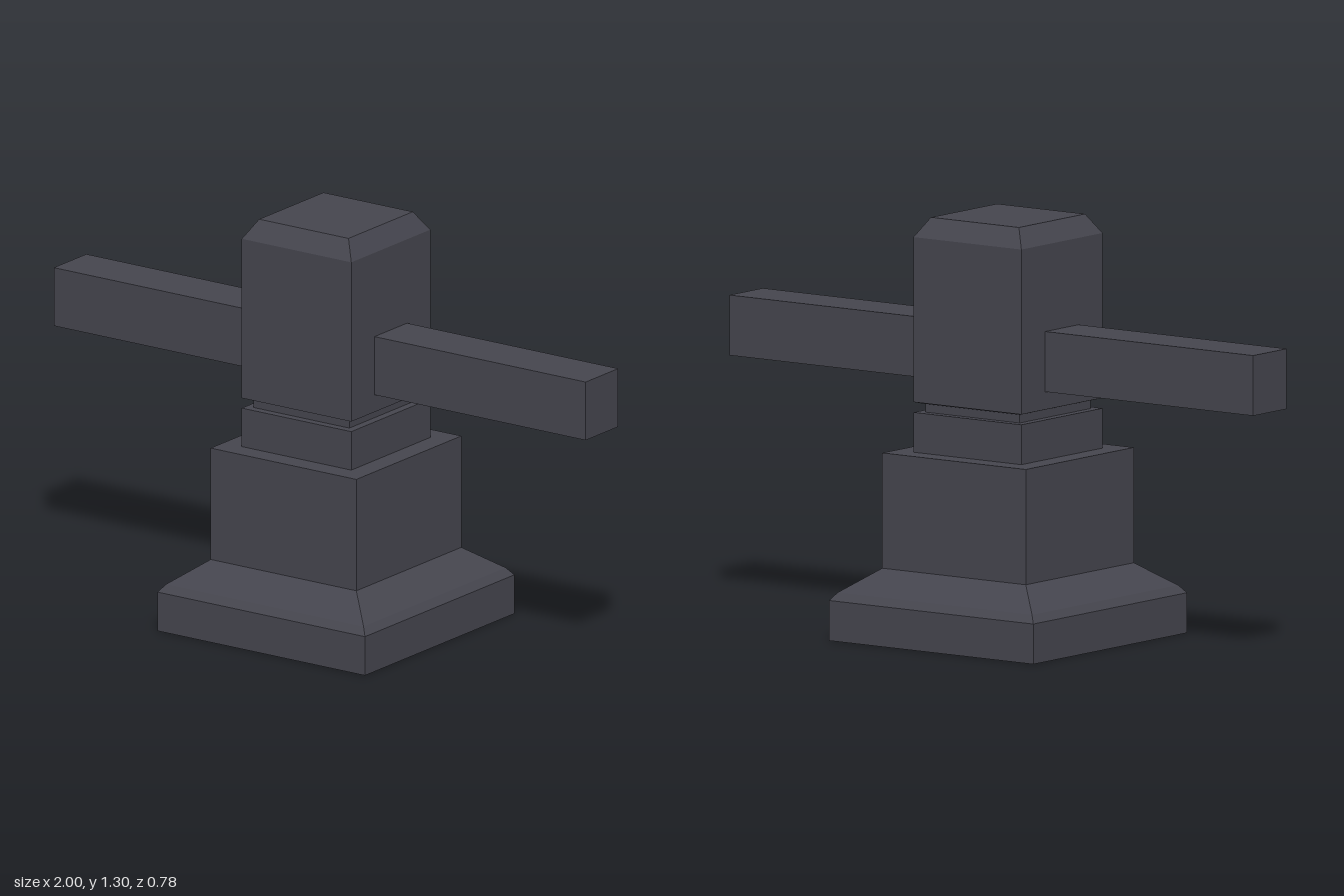
import * as THREE from 'three';

const stone = new THREE.MeshStandardMaterial({ color: 0x45454e });
stone.name = 'darkStone';

// Square solid from a bottom-to-top profile of [half width, height]
function squareSolid(name, profile) {
  const points = [[0, profile[0][1]], ...profile, [0, profile.at(-1)[1]]]
    .map(([w, y]) => new THREE.Vector2(w * Math.SQRT2, y));
  const geometry = new THREE.LatheGeometry(points, 4, Math.PI / 4).toNonIndexed();
  geometry.computeVertexNormals(); // flat faces
  const mesh = new THREE.Mesh(geometry, stone);
  mesh.name = name;
  return mesh;
}

export function createModel() {
  const model = new THREE.Group();
  model.name = 'crossArmPost';

  // Stacked pedestal and post
  model.add(
    squareSolid('base', [[0.39, 0], [0.39, 0.124], [0.371, 0.148], [0.274, 0.22]]),
    squareSolid('pedestal', [[0.274, 0.22], [0.274, 0.576]]),
    squareSolid('collar', [[0.206, 0.576], [0.206, 0.699]]),
    squareSolid('neck', [[0.18, 0.699], [0.18, 0.727]]),
    squareSolid('head', [[0.188, 0.726], [0.206, 0.731], [0.206, 1.24], [0.168, 1.3]]),
  );

  // Mirrored side arms
  for (const side of [1, -1]) {
    const arm = new THREE.Mesh(new THREE.BoxGeometry(0.8, 0.186, 0.17), stone);
    arm.position.set(side * 0.6, 0.879, 0);
    arm.name = side > 0 ? 'leftArm' : 'rightArm';
    model.add(arm);
  }
  return model;
}
